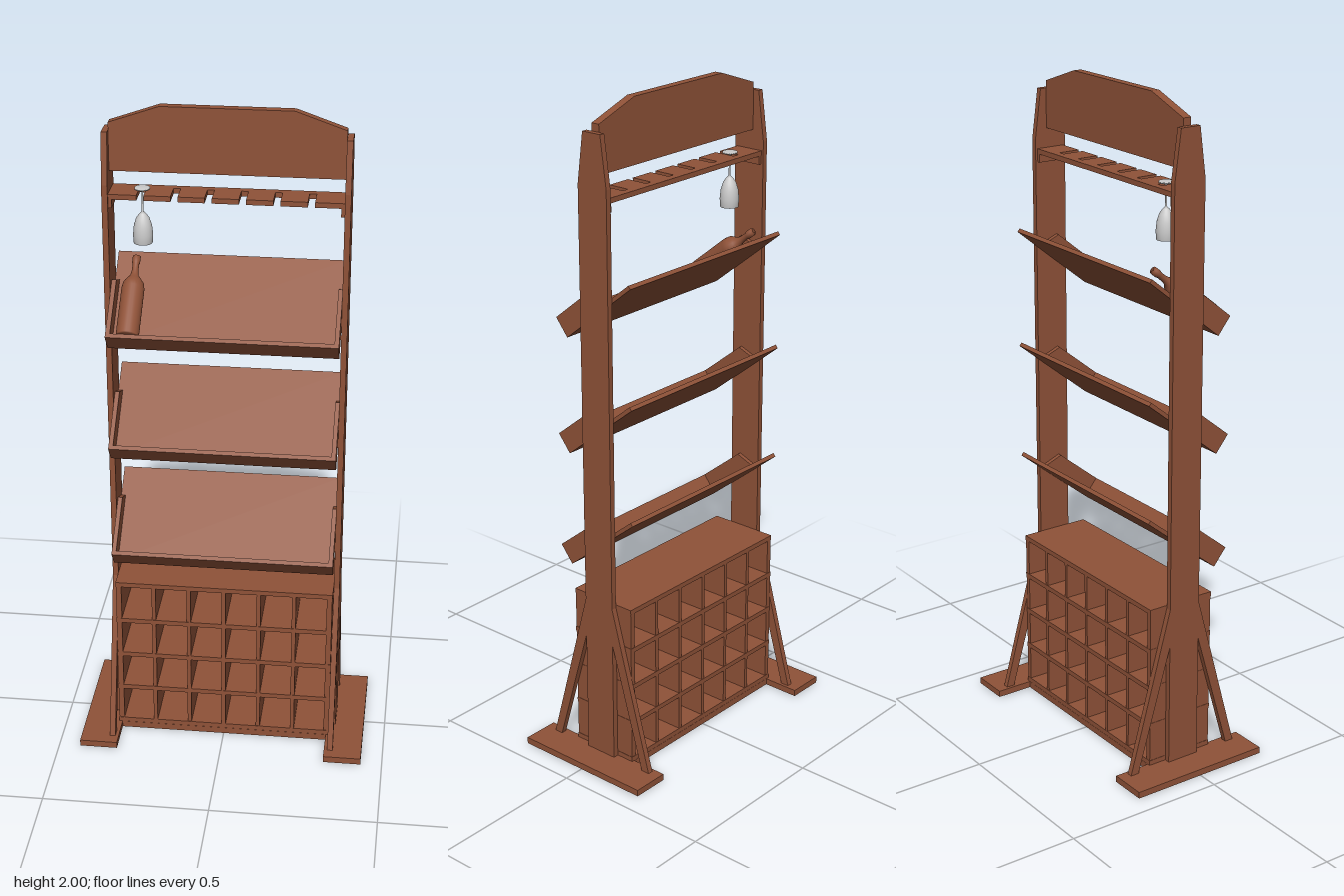
import * as THREE from 'three';

const wood = new THREE.MeshStandardMaterial({ color: 0x8f5238 });
const grey = new THREE.MeshStandardMaterial({ color: 0xcccccc, side: THREE.DoubleSide });

function add(parent, name, geometry, material = wood) {
  const mesh = new THREE.Mesh(geometry, material);
  mesh.name = name;
  parent.add(mesh);
  return mesh;
}

// Box given by its limits on each axis
function box(parent, name, x0, x1, y0, y1, z0, z1) {
  const mesh = add(parent, name, new THREE.BoxGeometry(x1 - x0, y1 - y0, z1 - z0));
  mesh.position.set((x0 + x1) / 2, (y0 + y1) / 2, (z0 + z1) / 2);
  return mesh;
}

function extrude(points, depth) {
  const shape = new THREE.Shape(points.map(([x, y]) => new THREE.Vector2(x, y)));
  return new THREE.ExtrudeGeometry(shape, { depth, bevelEnabled: false });
}

// Side profile of [z, y] points, extruded along x from x0 to x1
function sidePrism(parent, name, points, x0, x1) {
  const geometry = extrude(points.map(([z, y]) => [-z, y]), x1 - x0);
  return add(parent, name, geometry.rotateY(Math.PI / 2).translate(x0, 0, 0));
}

function lathe(points, segments = 24) {
  return new THREE.LatheGeometry(points.map(([r, y]) => new THREE.Vector2(r, y)), segments);
}

function makeFrame() {
  const frame = new THREE.Group();
  frame.name = 'frame';
  box(frame, 'basePanel', -0.32, 0.32, 0, 0.02, -0.11, 0.11);
  for (const s of [-1, 1]) {
    const x0 = s > 0 ? 0.33 : -0.347, x1 = x0 + 0.017;
    box(frame, 'footPlate', s > 0 ? 0.32 : -0.435, s > 0 ? 0.435 : -0.32, 0, 0.02, -0.225, 0.225);
    sidePrism(frame, 'post', [[-0.052, 0.02], [0.052, 0.02], [0.052, 1.78], [0.032, 1.928],
      [-0.032, 1.928], [-0.052, 1.78]], x0, x1);
    // Sloping braces in front of and behind the post
    for (const d of [-1, 1]) {
      sidePrism(frame, 'brace', [[0.19, 0.02], [0.052, 0.52], [0.052, 0.4], [0.163, 0.02]]
        .map(([z, y]) => [z * d, y]), x0, x1);
    }
  }
  // Header board with sloping shoulders
  add(frame, 'header', extrude([[-0.33, 1.81], [0.33, 1.81], [0.33, 1.95], [0.187, 2],
    [-0.187, 2], [-0.33, 1.95]], 0.026).translate(0, 0, -0.013));
  return frame;
}

// Bottle grid, open at front and back
function makeBottleRack() {
  const rack = new THREE.Group();
  rack.name = 'bottleRack';
  for (const y of [0.028, 0.152, 0.273, 0.395, 0.522]) {
    box(rack, 'rackShelf', -0.33, 0.33, y - 0.0075, y + 0.0075, -0.11, 0.11);
  }
  for (let i = -3; i <= 3; i++) {
    const x = i * 0.107;
    const t = Math.abs(i) === 3 ? 0.008 : 0.006;
    box(rack, 'rackDivider', x - t, x + t, 0.021, 0.529, -0.109, 0.109);
  }
  return rack;
}

// Tilted tray: local -z runs up the slope, origin at the lower front edge
function makeTray(y) {
  const tray = new THREE.Group();
  tray.name = 'displayShelf';
  box(tray, 'shelfBoard', -0.33, 0.33, 0, 0.012, -0.309, 0);
  box(tray, 'frontLip', -0.33, 0.33, 0, 0.066, -0.013, 0);
  const rail = [[-0.013, 0.012], [-0.013, 0.066], [-0.185, 0.066], [-0.215, 0.012]];
  sidePrism(tray, 'sideRail', rail, -0.33, -0.317);
  sidePrism(tray, 'sideRail', rail, 0.317, 0.33);
  tray.position.set(0, y, 0.12);
  tray.rotation.x = THREE.MathUtils.degToRad(39);
  return tray;
}

function makeBottle() {
  const bottle = add(new THREE.Group(), 'bottle', lathe([[0, 0], [0.03, 0], [0.033, 0.004],
    [0.033, 0.155], [0.03, 0.172], [0.02, 0.187], [0.012, 0.198], [0.0095, 0.215], [0.0095, 0.237],
    [0.0115, 0.239], [0.0115, 0.26], [0, 0.26]]));
  bottle.rotation.x = -Math.PI / 2;
  bottle.position.set(-0.27, 0.045, -0.014);
  return bottle;
}

// Slotted rail from which stemmed glasses hang
function makeGlassRail() {
  const rail = new THREE.Group();
  rail.name = 'glassRail';
  const points = [[-0.33, 0.045], [0.33, 0.045]];
  points.push([0.33, -0.045]);
  for (let i = 5; i >= 0; i--) {
    const x = -0.24 + i * 0.0955;
    points.push([x + 0.01, -0.045], [x + 0.01, 0.022], [x - 0.01, 0.022], [x - 0.01, -0.045]);
  }
  points.push([-0.33, -0.045]);
  add(rail, 'slottedBoard', extrude(points, 0.015).rotateX(-Math.PI / 2).translate(0, 1.737, 0));
  for (const s of [-1, 1]) {
    box(rail, 'cleat', s * 0.325 - 0.005, s * 0.325 + 0.005, 1.712, 1.737, -0.045, 0.045);
  }
  // Glass hanging upside down: rim, bowl, stem, foot
  const glass = add(rail, 'hangingGlass', lathe([[0.024, 0.008], [0.024, 0], [0.027, 0],
    [0.0285, 0.025], [0.026, 0.05], [0.019, 0.073], [0.009, 0.087], [0.003, 0.093], [0.0025, 0.152],
    [0.008, 0.158], [0.022, 0.16], [0.022, 0.164], [0, 0.164]]), grey);
  glass.position.set(-0.24, 1.596, 0);
  return rail;
}

export function createModel() {
  const model = new THREE.Group();
  model.name = 'bottleDisplayStand';
  model.add(makeFrame(), makeBottleRack(), makeGlassRail());
  const trays = [0.607, 0.962, 1.317].map(makeTray);
  trays[2].add(makeBottle());
  model.add(...trays);
  return model;
}
